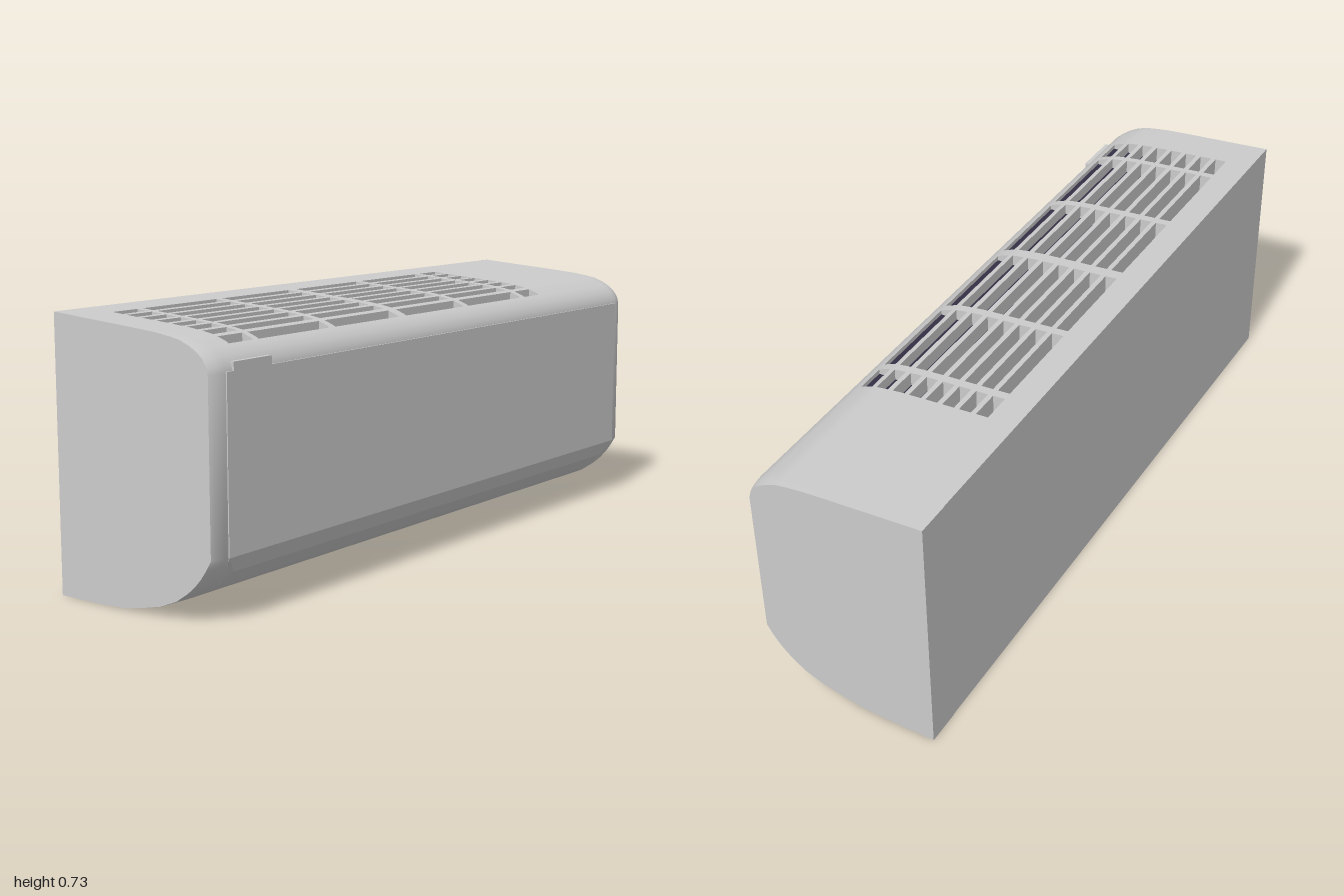
import * as THREE from 'three';
import { mergeGeometries, toCreasedNormals } from 'three/addons/utils/BufferGeometryUtils.js';

// Side profile as [z, y]: top runs front to back, belly runs back to front
const TOP = [[0.259, 0.612], [0.254, 0.63], [0.241, 0.65], [0.222, 0.665], [0.2, 0.677], [0.165, 0.69],
  [0.13, 0.696], [0.085, 0.702], [0, 0.709], [-0.12, 0.718], [-0.26, 0.729]];
const BELLY = [[-0.26, 0.001], [-0.12, 0.001], [-0.04, 0.004], [0.02, 0.015], [0.085, 0.029], [0.14, 0.05],
  [0.18, 0.076], [0.205, 0.097], [0.225, 0.118], [0.243, 0.142], [0.259, 0.168]];

// Air intake grid
const COLUMNS = [[-0.88, -0.79], [-0.77, -0.487], [-0.463, -0.18], [-0.145, 0.14], [0.165, 0.45], [0.475, 0.56]];
const ROWS = Array.from({ length: 8 }, (_, i) => 0.191 - i * 0.05);
const HALF = 0.0175;
const FLOOR = 0.655;

function topHeight(z) {
  for (let i = 1; i < TOP.length; i++) {
    const [z0, y0] = TOP[i - 1], [z1, y1] = TOP[i];
    if (z >= z1) return y0 + (y1 - y0) * (z - z0) / (z1 - z0);
  }
  return TOP[TOP.length - 1][1];
}

// Body outline; slotted outlines drop to the intake floor at every row
function bodyProfile(slotted) {
  const top = TOP.filter(([z]) => !ROWS.some(r => Math.abs(z - r) <= HALF + 0.001))
    .map(p => [p]);
  for (const r of ROWS) {
    const a = r + HALF, b = r - HALF;
    const walls = [[a, topHeight(a)], [b, topHeight(b)]];
    if (slotted) walls.splice(1, 0, [a, FLOOR], [b, FLOOR]);
    else walls.splice(1, 0, ...TOP.filter(([z]) => z < a && z > b));
    top.push(walls);
  }
  top.sort((p, q) => q[0][0] - p[0][0]);
  return [...top.flat(), ...BELLY];
}

// Sweep a [z, y] outline along x from x0 to x1
function sweep(points, x0, x1, steps = 1) {
  const shape = new THREE.Shape(points.map(([z, y]) => new THREE.Vector2(z, y)));
  const g = new THREE.ExtrudeGeometry(shape, { depth: x1 - x0, steps, bevelEnabled: false });
  return g.rotateY(-Math.PI / 2).translate(x1, 0, 0);
}

// Draw the front in slightly towards both ends
function roundEnds(g) {
  const p = g.attributes.position;
  for (let i = 0; i < p.count; i++) {
    const t = Math.max(0, (Math.abs(p.getX(i)) - 0.95) / 0.05);
    const z = p.getZ(i);
    if (z > 0) p.setZ(i, z - 0.012 * t * t * z / 0.26);
  }
  return g;
}

export function createModel() {
  const group = new THREE.Group();
  const shell = new THREE.MeshStandardMaterial({ color: 0xcccccc });
  shell.name = 'light grey shell';
  const dark = new THREE.MeshStandardMaterial({ color: 0x352f45 });
  dark.name = 'dark intake';

  const add = (name, geometry, material) => {
    const mesh = new THREE.Mesh(geometry, material);
    mesh.name = name;
    group.add(mesh);
    return mesh;
  };

  // Housing: solid bands alternating with slotted bands
  const solid = bodyProfile(false), slotted = bodyProfile(true);
  const bands = [sweep(solid, -1, -0.95, 4)];
  let x = -0.95;
  for (const [a, b] of COLUMNS) {
    bands.push(sweep(solid, x, a), sweep(slotted, a, b));
    x = b;
  }
  bands.push(sweep(solid, x, 0.95), sweep(solid, 0.95, 1, 4));
  add('housing', toCreasedNormals(roundEnds(mergeGeometries(bands)), 0.6), shell);

  // Dark floors at the bottom of the intake slots
  const floors = [];
  for (const [a, b] of COLUMNS) {
    for (const r of ROWS) {
      floors.push(new THREE.BoxGeometry(b - a, 0.004, HALF * 2).translate((a + b) / 2, FLOOR + 0.002, r));
    }
  }
  add('intakeFloors', mergeGeometries(floors), dark);

  // Front panel with a finger tab on its upper edge
  const outline = [[-0.95, 0.167], [0.95, 0.167], [0.95, 0.616], [-0.785, 0.616],
    [-0.785, 0.638], [-0.925, 0.638], [-0.925, 0.616], [-0.95, 0.616]];
  const panel = new THREE.Shape(outline.map(([px, py]) => new THREE.Vector2(px, py)));
  add('frontPanel', new THREE.ExtrudeGeometry(panel, { depth: 0.012, bevelEnabled: false }).translate(0, 0, 0.25), shell);

  // Air outlet flap under the panel
  const flap = [[0.262, 0.167], [0.24, 0.167], [0.19, 0.1], [0.195, 0.088], [0.238, 0.122]];
  const flapGeometry = sweep(flap, -0.95, 0.95);
  const fp = flapGeometry.attributes.position;
  for (let i = 0; i < fp.count; i++) {
    if (fp.getY(i) < 0.15) fp.setX(i, fp.getX(i) * 0.955);
  }
  flapGeometry.computeVertexNormals();
  add('outletFlap', flapGeometry, shell);

  // Narrow cover strip on the back
  add('backCover', new THREE.BoxGeometry(0.1, 0.728, 0.002).translate(0.95, 0.365, -0.26), shell);

  return group;
}
